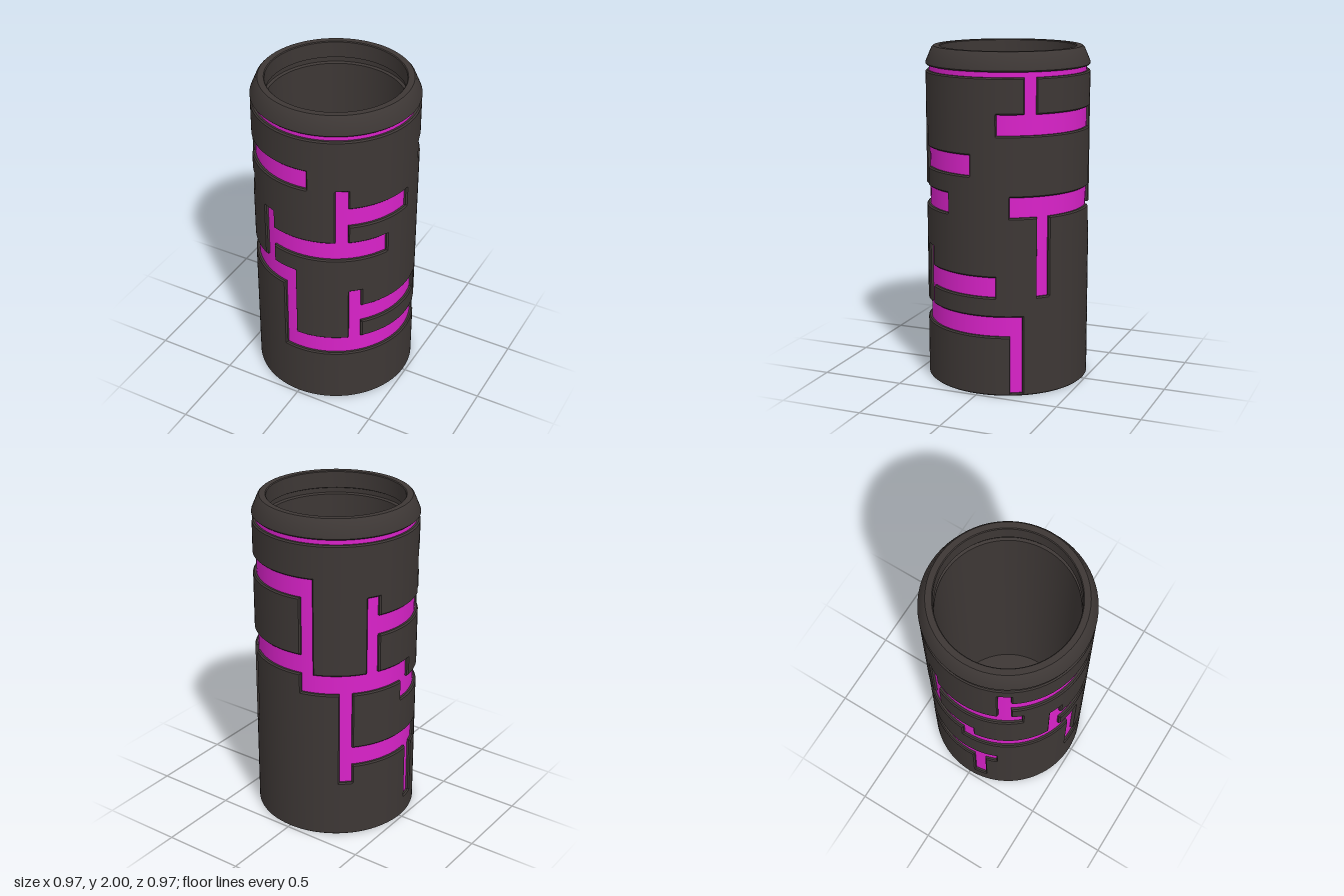
import * as THREE from 'three';
import { toCreasedNormals } from 'three/addons/utils/BufferGeometryUtils.js';

const OUTER = 0.485, CORE = 0.465, TOP = 1.86, BEVEL = 0.008, HALF = 4.4;
const rowY = (k) => Math.min(TOP, Math.max(0.015, 0.0075 + 0.1175 * k));

// Maze channels: [start angle, end angle, bottom row, top row]; 0 degrees is the front, 90 is +x
const shaft = (angle, r0, r1) => [angle - HALF, angle + HALF, r0, r1];
const channels = [
  // upright channels
  shaft(-60.6, 11, 15), shaft(-23.7, 7, 11), shaft(-5, 3, 8), shaft(32.7, 9, 13),
  shaft(42.2, 3, 7), shaft(117.8, 0, 4), shaft(136.6, 5, 10), shaft(127.4, 13, 16),
  shaft(195.3, 8, 14), shaft(241.8, 8, 13), shaft(222.6, 3, 9), shaft(272, 7, 9), shaft(279.8, 1, 5),
  // level channels
  [-65, 8.5, 13, 14], [28.3, 85, 11, 12], [-28.1, 66, 9, 10], [267.6, 359.4, 7, 8],
  [37.8, 103.3, 5, 6], [-9.4, 122.2, 3, 4], [104, 199.7, 13, 14], [113.2, 199.7, 9, 10],
  [190.9, 276.4, 8, 9], [237.4, 311.6, 11, 12], [218.2, 293, 4, 5],
];

const wrap = (a) => ((a % 360) + 360) % 360;

// Sorted grid lines with near-duplicates dropped and wide gaps subdivided
function gridLines(values, gap, start, end) {
  const sorted = [start, ...values.filter((v) => v > start && v < end), end].sort((a, b) => a - b);
  const out = [start];
  for (const v of sorted) {
    const last = out[out.length - 1];
    if (v - last < 1e-4) continue;
    const n = Math.ceil((v - last) / gap);
    for (let k = 1; k <= n; k++) out.push(last + ((v - last) * k) / n);
  }
  return out;
}

// Outer shell: solid cells of an angle-by-height grid, with walls and small bevels along the channels
function shellGeometry() {
  const step = THREE.MathUtils.radToDeg(BEVEL / OUTER);
  const angles = gridLines(
    channels.flatMap(([a, b]) => [a, b].flatMap((v) => [wrap(v - step), wrap(v), wrap(v + step)])), 5, 0, 360);
  const heights = gridLines(
    [BEVEL, TOP - BEVEL, ...channels.flatMap(([, , a, b]) => [a, b].flatMap((k) => [rowY(k) - BEVEL, rowY(k), rowY(k) + BEVEL]))],
    0.2, 0, TOP);
  const n = angles.length - 1, m = heights.length - 1;

  const cells = [];
  for (let i = 0; i < n; i++) {
    const a = (angles[i] + angles[i + 1]) / 2;
    cells.push(heights.slice(0, m).map((h, j) => {
      const y = (h + heights[j + 1]) / 2;
      return !channels.some(([a0, a1, r0, r1]) => wrap(a - a0) < a1 - a0 && y > rowY(r0) && y < rowY(r1));
    }));
  }
  const solid = (i, j) => j >= 0 && j < m && cells[(i + n) % n][j];

  const point = (i, j, r) => {
    const t = THREE.MathUtils.degToRad(angles[i % n]);
    return [r * Math.sin(t), heights[j], r * Math.cos(t)];
  };
  const outer = (i, j) => {
    const inside = solid(i, j) && solid(i - 1, j) && solid(i, j - 1) && solid(i - 1, j - 1);
    return point(i, j, inside ? OUTER : OUTER - BEVEL);
  };
  const inner = (i, j) => point(i, j, CORE - 0.003);

  const positions = [];
  const quad = (a, b, c, d) => positions.push(...a, ...b, ...c, ...a, ...c, ...d);
  for (let i = 0; i < n; i++) {
    for (let j = 0; j < m; j++) {
      if (!solid(i, j)) continue;
      const I = i + 1, J = j + 1;
      quad(outer(i, j), outer(I, j), outer(I, J), outer(i, J));
      if (!solid(I, j)) quad(outer(I, j), inner(I, j), inner(I, J), outer(I, J));
      if (!solid(i - 1, j)) quad(inner(i, j), outer(i, j), outer(i, J), inner(i, J));
      if (!solid(i, J)) quad(outer(i, J), outer(I, J), inner(I, J), inner(i, J));
      if (!solid(i, j - 1)) quad(inner(i, j), inner(I, j), outer(I, j), outer(i, j));
    }
  }
  const geometry = new THREE.BufferGeometry();
  geometry.setAttribute('position', new THREE.Float32BufferAttribute(positions, 3));
  return toCreasedNormals(geometry, 0.5);
}

export function createModel() {
  const charcoal = new THREE.MeshStandardMaterial({ color: 0x3d3735 });
  charcoal.name = 'charcoal';
  const magenta = new THREE.MeshStandardMaterial({ color: 0xd922c9 });
  magenta.name = 'magenta';

  const group = new THREE.Group();
  group.name = 'mazeContainer';
  const add = (name, geometry, material) => {
    const mesh = new THREE.Mesh(geometry, material);
    mesh.name = name;
    group.add(mesh);
    return mesh;
  };

  add('mazeShell', shellGeometry(), charcoal);

  // Coloured sleeve showing through the channels and below the rim
  add('innerSleeve', new THREE.CylinderGeometry(CORE, CORE, 1.885, 72, 1, true), magenta).position.y = 0.95;

  // Closed underside
  add('base', new THREE.CircleGeometry(CORE + 0.005, 72).rotateX(Math.PI / 2), charcoal);

  // Sloped rim, inner lip with a shallow groove, inner wall and floor
  const profile = [
    [0.455, 1.89], [0.478, 1.89], [0.486, 1.898], [0.485, 1.908], [0.45, 1.99], [0.44, 2],
    [0.405, 2], [0.4, 1.995], [0.4, 1.897], [0.415, 1.89], [0.415, 1.862], [0.4, 1.855],
    [0.4, 0.05], [0, 0.05],
  ].map(([r, y]) => new THREE.Vector2(r, y));
  add('rimAndInterior', toCreasedNormals(new THREE.LatheGeometry(profile, 72), 0.5), charcoal);

  return group;
}
